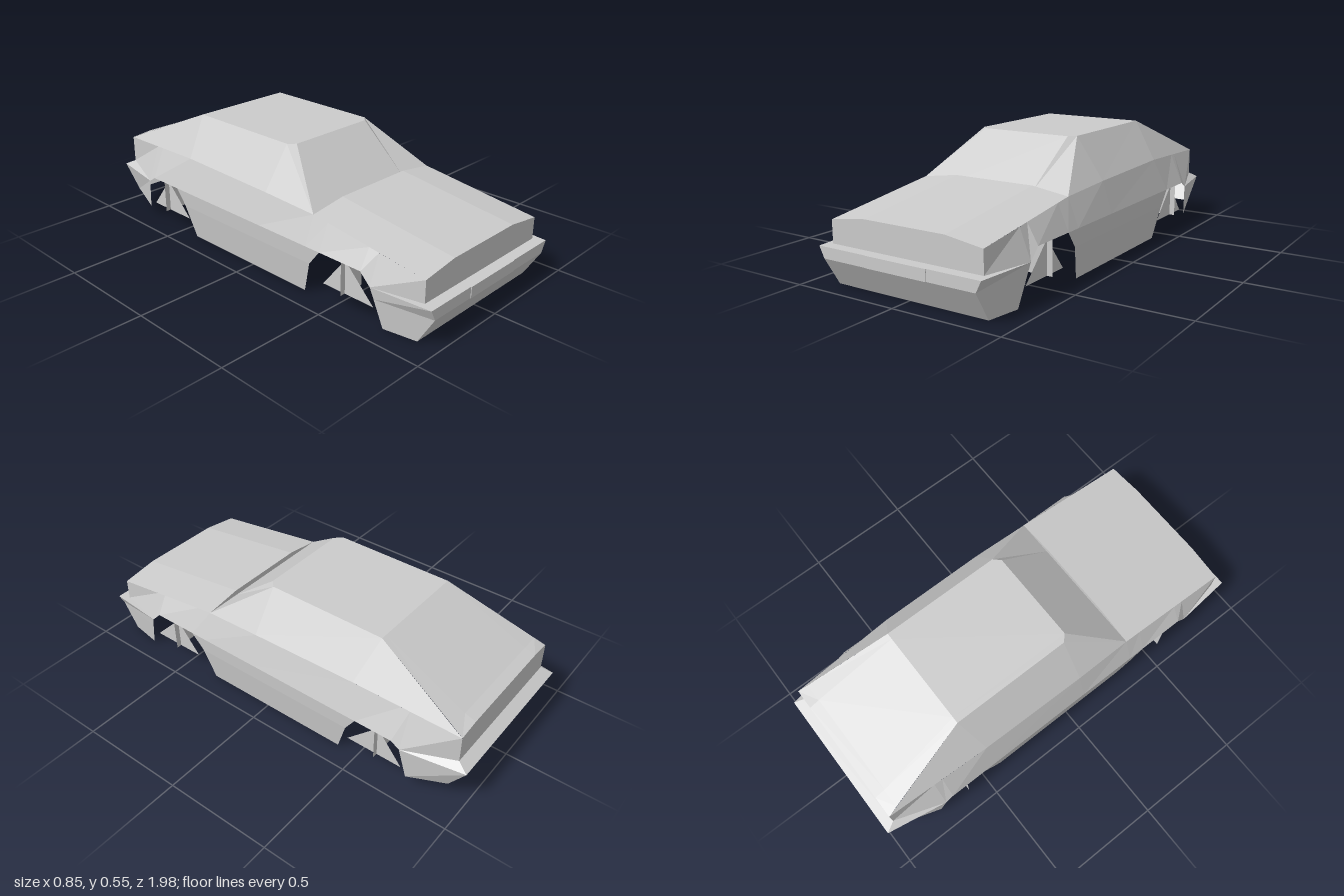
import * as THREE from 'three';

const material = new THREE.MeshStandardMaterial({
  color: 0xcccccc, flatShading: true, side: THREE.DoubleSide,
});

// Mirrors a point list across the car's centre plane
const flip = (row) => row.map(([x, y, z]) => [-x, y, z]);
// Left-half row, from centre outwards, made into a full-width row
const full = (row) => [...flip(row).reverse(), ...row];

// Joins neighbouring rows of points with flat faces, skipping collapsed ones
function skin(name, rows) {
  const pos = [];
  const tri = (...pts) => {
    const [a, b, c] = pts.map((p) => new THREE.Vector3(...p));
    if (b.sub(a).cross(c.sub(a)).length() > 1e-7) pos.push(...pts.flat());
  };
  for (let r = 0; r + 1 < rows.length; r++) {
    const a = rows[r], b = rows[r + 1];
    for (let i = 0; i + 1 < a.length; i++) {
      tri(a[i], b[i], a[i + 1]);
      tri(a[i + 1], b[i], b[i + 1]);
    }
  }
  const geometry = new THREE.BufferGeometry();
  geometry.setAttribute('position', new THREE.Float32BufferAttribute(pos, 3));
  geometry.computeVertexNormals();
  const mesh = new THREE.Mesh(geometry, material);
  mesh.name = name;
  return mesh;
}

export function createModel() {
  const car = new THREE.Group();
  car.name = 'car';
  const across = (name, rows) => car.add(skin(name, rows.map(full)));
  const sides = (name, rows) => {
    car.add(skin(name + 'Left', rows));
    car.add(skin(name + 'Right', rows.map((r) => flip(r).reverse())));
  };

  // Panels spanning the width, swept from the tail over the roof to the nose
  const tailTop = [[0.25, 0.36, -0.95], [0.35, 0.35, -0.95]];
  const roofBack = [[0.22, 0.55, -0.5], [0.25, 0.55, -0.5]];
  const roofFront = [[0.22, 0.55, 0.1], [0.25, 0.55, 0.07]];
  const cowl = [[0.2, 0.35, 0.35], [0.375, 0.35, 0.35]];
  const hoodBack = [[0.2, 0.375, 0.35], [0.375, 0.35, 0.35]];
  const hoodFront = [[0.2, 0.3, 0.925], [0.375, 0.275, 0.925]];
  across('tailPanel', [[[0.25, 0.225, -0.95], [0.35, 0.225, -0.95]], tailTop]);
  across('rearWindow', [tailTop, [[0.25, 0.376, -0.9], [0.338, 0.373, -0.9]], roofBack]);
  across('roof', [roofBack, roofFront]);
  across('windscreen', [roofFront, cowl]);
  across('hood', [cowl, hoodBack, hoodFront]);
  across('nosePanel', [hoodFront, [[0.2, 0.175, 0.925], [0.375, 0.175, 0.925]]]);

  // Side windows, between roof edge and shoulder
  sides('sideWindow', [
    [[0.375, 0.35, 0.35], [0.25, 0.55, 0.07], [0.25, 0.55, -0.5], [0.35, 0.35, -0.95]],
    [[0.375, 0.35, 0.35], [0.38, 0.365, 0.07], [0.375, 0.375, -0.45], [0.35, 0.35, -0.95]],
  ]);

  // Body sides, between shoulder and waist, including the arch tops
  sides('bodySide', [
    [[0.375, 0.275, 0.925], [0.375, 0.304, 0.7], [0.375, 0.311, 0.65],
      [0.375, 0.34, 0.43], [0.375, 0.35, 0.35], [0.38, 0.365, 0.07],
      [0.375, 0.375, -0.45], [0.364, 0.364, -0.68], [0.361, 0.362, -0.72], [0.35, 0.35, -0.95]],
    [[0.375, 0.175, 0.925], [0.425, 0.175, 0.7], [0.425, 0.225, 0.65],
      [0.425, 0.225, 0.43], [0.425, 0.225, 0.35], [0.425, 0.225, 0.07],
      [0.425, 0.225, -0.5], [0.425, 0.225, -0.68], [0.425, 0.2, -0.72], [0.35, 0.225, -0.95]],
  ]);

  // Door sills between the wheel arches
  sides('sill', [
    [[0.425, 0.225, 0.43], [0.425, 0.225, -0.5]],
    [[0.42, 0.15, 0.37], [0.42, 0.15, -0.45]],
    [[0.4, 0, 0.325], [0.4, 0, -0.4]],
  ]);

  // Wrap-around bumpers
  across('frontBumper', [
    [[0.375, 0.175, 0.925], [0.425, 0.175, 0.7]],
    [[0.4, 0.175, 0.975], [0.425, 0.175, 0.7]],
    [[0.375, 0.125, 0.975], [0.418, 0.125, 0.715]],
    [[0.375, 0, 0.9], [0.4, 0, 0.75]],
  ]);
  across('rearBumper', [
    [[0.36, 0.08, -0.92], [0.41, 0.05, -0.75]],
    [[0.375, 0.2, -1], [0.425, 0.2, -0.72]],
    [[0.35, 0.225, -0.95], [0.425, 0.2, -0.72]],
  ]);

  // Blank plate on the front bumper
  const plate = new THREE.Mesh(new THREE.BoxGeometry(0.3, 0.05, 0.004), material);
  plate.name = 'plate';
  plate.position.set(0, 0.15, 0.976);
  car.add(plate);

  // Simple wheels made of crossed fins
  for (const [name, z] of [['frontWheel', 0.55], ['rearWheel', -0.6]]) {
    sides(name + 'Disc', [
      [[0.4, 0.225, z], [0.4, 0.225, z], [0.4, 0.225, z]],
      [[0.4, 0.075, z + 0.15], [0.4, 0.075, z], [0.4, 0.075, z - 0.12]],
    ]);
    sides(name + 'Fin', [
      [[0.3, 0.225, z], [0.425, 0.225, z]],
      [[0.3, 0.075, z], [0.425, 0.075, z]],
    ]);
  }
  return car;
}
